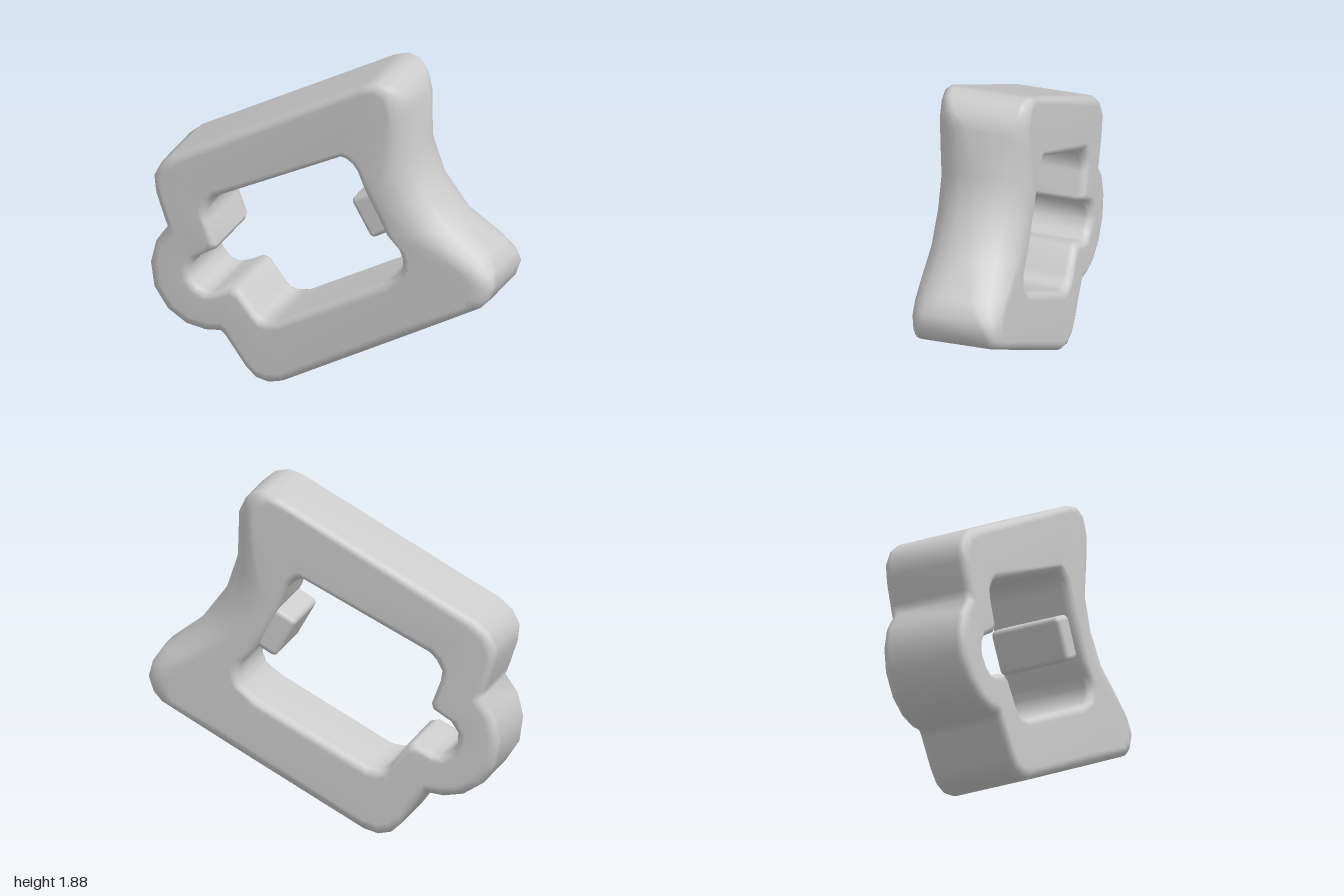
import * as THREE from 'three';
import { RoundedBoxGeometry } from 'three/addons/geometries/RoundedBoxGeometry.js';

const HALF = 0.255; // half depth of the frame

// Stations round the frame: outer x, y, inner x, y, then the outer edge rounding (in plane, in depth)
const stations = [
  // lower bar
  [-0.31, 0, -0.32, 0.37], [-0.23, 0.02, -0.25, 0.38], [0.55, 0.44, 0.36, 0.705],
  // lower right corner
  [0.92, 0.64, 0.40, 0.73, 0.08, 0.06], [0.97, 0.69, 0.45, 0.77, 0.11, 0.07],
  [1.0, 0.77, 0.47, 0.82, 0.13, 0.08], [0.99, 0.84, 0.47, 0.87, 0.17, 0.12],
  // curved, rounded side bar
  [0.94, 0.92, 0.45, 0.92, 0.24, 0.18], [0.75, 1.07, 0.38, 0.99, 0.24, 0.23],
  [0.60, 1.27, 0.32, 1.11, 0.22, 0.23], [0.53, 1.48, 0.25, 1.24, 0.24, 0.23],
  [0.51, 1.74, 0.21, 1.34, 0.22, 0.18],
  // upper right corner
  [0.46, 1.82, 0.18, 1.38, 0.13, 0.10], [0.40, 1.87, 0.14, 1.405, 0.08, 0.06],
  [0.33, 1.885, 0.11, 1.41], [0.25, 1.86, 0.07, 1.39],
  // upper bar and upper left corner
  [-0.87, 1.26, -0.60, 1.06], [-0.94, 1.20, -0.64, 1.02], [-0.98, 1.12, -0.67, 0.96],
  [-0.97, 1.03, -0.66, 0.90], [-0.92, 0.88, -0.61, 0.77],
  // round loop
  [-0.90, 0.83, -0.62, 0.74], [-0.97, 0.73, -0.72, 0.68], [-1.0, 0.60, -0.76, 0.62],
  [-0.98, 0.46, -0.755, 0.55], [-0.90, 0.34, -0.71, 0.50], [-0.79, 0.27, -0.66, 0.48],
  [-0.68, 0.25, -0.61, 0.495], [-0.59, 0.26, -0.52, 0.54],
  // return to the lower bar
  [-0.56, 0.235, -0.48, 0.53], [-0.44, 0.07, -0.39, 0.41], [-0.38, 0.015, -0.36, 0.38],
];

// Rounded cross-section as [distance inward from the outer edge, z]
function crossSection(width, a, b) {
  const arc = (u, v, steps) => Array.from({ length: steps + 1 }, (_, k) => {
    const t = (k / steps) * Math.PI / 2;
    return [u * (1 - Math.cos(t)), HALF - v * (1 - Math.sin(t))];
  });
  const outer = arc(a, b, 5);
  const inner = arc(0.05, 0.05, 3).map(([d, z]) => [width - d, z]).reverse();
  const front = [...outer, ...inner];
  const back = front.map(([d, z]) => [d, -z]).reverse();
  return [...front, ...back];
}

function frameGeometry() {
  const positions = [], index = [];
  let m = 0;
  for (const [ox, oy, ix, iy, a = 0.06, b = 0.05] of stations) {
    const dx = ix - ox, dy = iy - oy, width = Math.hypot(dx, dy);
    const section = crossSection(width, a, b);
    m = section.length;
    for (const [d, z] of section) positions.push(ox + dx * d / width, oy + dy * d / width, z);
  }
  const n = stations.length;
  for (let i = 0; i < n; i++) {
    for (let j = 0; j < m; j++) {
      const i2 = (i + 1) % n, j2 = (j + 1) % m;
      const p = i * m + j, q = i2 * m + j, r = i2 * m + j2, s = i * m + j2;
      index.push(p, q, r, p, r, s);
    }
  }
  const geometry = new THREE.BufferGeometry();
  geometry.setAttribute('position', new THREE.Float32BufferAttribute(positions, 3));
  geometry.setIndex(index);
  geometry.computeVertexNormals();
  return geometry;
}

export function createModel() {
  const group = new THREE.Group();
  group.name = 'linkFrame';
  const material = new THREE.MeshStandardMaterial({ color: 0xcccccc });

  const frame = new THREE.Mesh(frameGeometry(), material);
  frame.name = 'frame';

  // Block on the inside of the curved bar
  const tooth = new THREE.Mesh(new RoundedBoxGeometry(0.2, 0.25, 0.42, 3, 0.03), material);
  tooth.name = 'innerTooth';
  tooth.position.set(0.305, 1.1, 0);
  tooth.rotation.z = 0.52;

  group.add(frame, tooth);
  return group;
}
